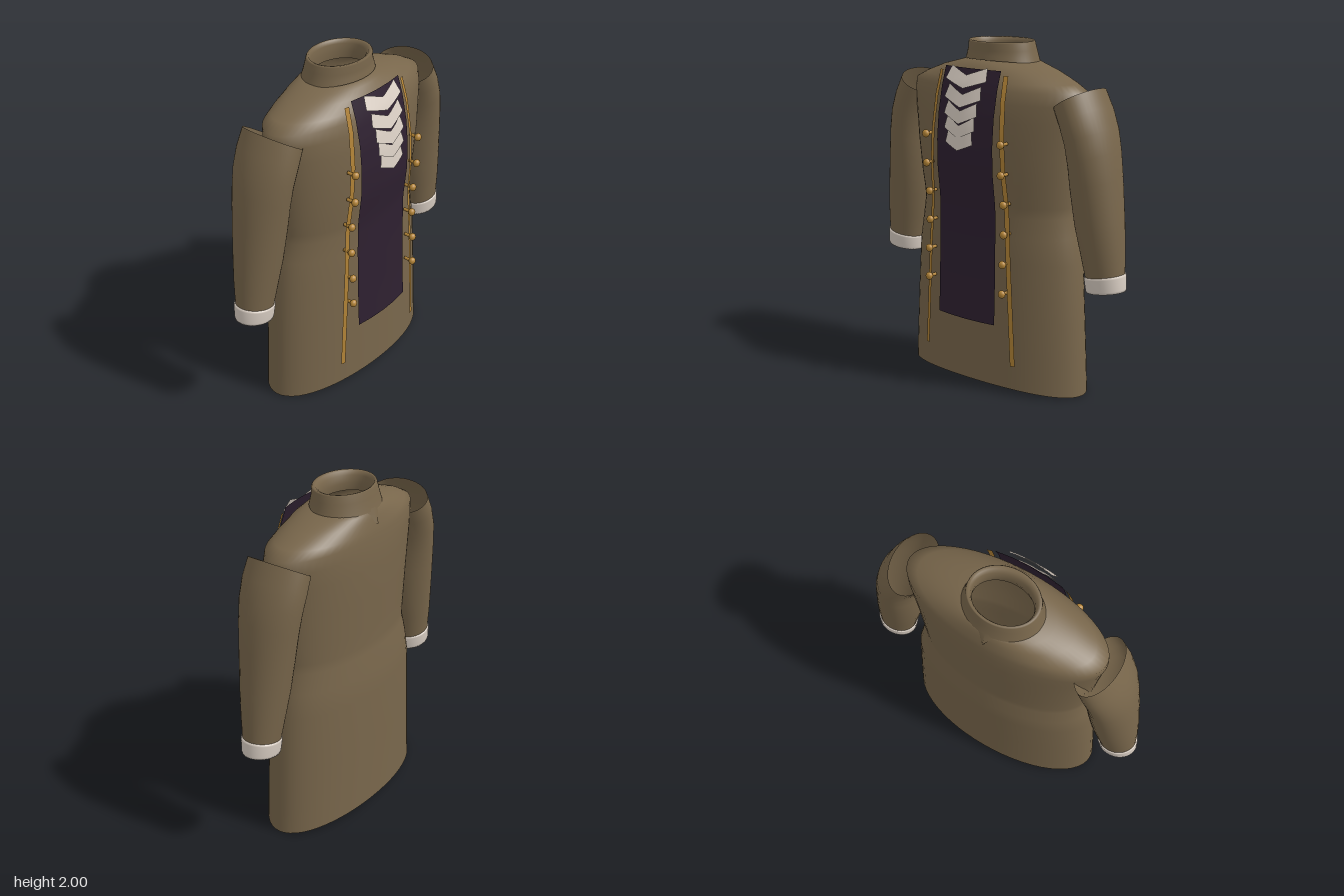
import * as THREE from 'three';

const paint = (name, color) => {
  const m = new THREE.MeshStandardMaterial({ color, side: THREE.DoubleSide });
  m.name = name;
  return m;
};

// Skin over rows of points, listed from bottom to top
function skin(rows, closed) {
  const n = rows[0].length, pos = [], index = [];
  rows.forEach(row => row.forEach(p => pos.push(...p)));
  for (let i = 0; i < rows.length - 1; i++) {
    for (let j = 0; j < (closed ? n : n - 1); j++) {
      const k = (j + 1) % n, a = i * n, b = a + n;
      index.push(a + j, b + j, a + k, a + k, b + j, b + k);
    }
  }
  const g = new THREE.BufferGeometry();
  g.setAttribute('position', new THREE.Float32BufferAttribute(pos, 3));
  g.setIndex(index);
  g.computeVertexNormals();
  return g;
}

const ring = (fn, n = 56) => Array.from({ length: n }, (_, i) => {
  const a = i / n * Math.PI * 2;
  return fn(Math.cos(a), Math.sin(a));
});

// Linear lookup of z along a list of [y, z] with falling y
function along(list, y) {
  for (let i = 1; i < list.length; i++) {
    const [y0, z0] = list[i - 1], [y1, z1] = list[i];
    if (y >= y1 || i === list.length - 1) return THREE.MathUtils.mapLinear(y, y0, y1, z0, z1);
  }
}

export function createModel() {
  const group = new THREE.Group();
  const brown = paint('brownCloth', 0x78664b);
  const plum = paint('plumCloth', 0x2e2030);
  const gold = paint('gold', 0xb38437);
  const cream = paint('creamLinen', 0xd9cec3);
  const add = (name, geometry, material) => {
    const m = new THREE.Mesh(geometry, material);
    m.name = name;
    group.add(m);
    return m;
  };

  // Coat body: y, half width, front z, back z, drop at the sides
  const body = [
    [0.045, 0.625, 0.255, -0.325, 0.042], [0.2, 0.617, 0.252, -0.322, 0.02],
    [0.45, 0.603, 0.247, -0.318, 0], [0.78, 0.582, 0.24, -0.315, 0],
    [0.92, 0.555, 0.236, -0.308, 0], [1.04, 0.532, 0.23, -0.288, 0],
    [1.1, 0.537, 0.232, -0.286, 0], [1.2, 0.55, 0.243, -0.288, 0],
    [1.4, 0.57, 0.255, -0.293, 0], [1.58, 0.59, 0.25, -0.296, 0],
    [1.68, 0.606, 0.238, -0.29, 0], [1.75, 0.606, 0.22, -0.283, 0],
    [1.79, 0.53, 0.2, -0.275, 0], [1.84, 0.4, 0.172, -0.262, 0],
    [1.87, 0.29, 0.142, -0.25, 0], [1.89, 0.22, 0.11, -0.24, 0],
    [1.895, 0.18, 0.07, -0.2, 0],
  ];
  add('coatBody', skin(body.map(([y, w, f, b, drop]) =>
    ring((c, s) => [w * c, y - drop * c * c, (f + b) / 2 + (f - b) / 2 * s])), true), brown);

  // Standing collar with a rolled top and an inner wall
  const collar = [
    [1.88, 0.234, 0.118, -0.25], [1.905, 0.226, 0.113, -0.243], [1.95, 0.215, 0.108, -0.232],
    [1.992, 0.206, 0.11, -0.224], [2.0, 0.2, 0.104, -0.219], [1.996, 0.187, 0.085, -0.208],
    [1.975, 0.177, 0.068, -0.2], [1.93, 0.172, 0.06, -0.196], [1.885, 0.178, 0.068, -0.2],
  ];
  add('collar', skin(collar.map(([y, w, f, b], i) => ring((c, s) =>
    [w * c, y + (i < 2 ? 0.018 * Math.max(s, 0) : 0), (f + b) / 2 + (f - b) / 2 * s])), true), brown);

  // Small pointed fold below the collar at the back
  add('collarFold', skin([
    [[-0.005, 1.81, -0.275], [0, 1.81, -0.282], [0.005, 1.81, -0.275]],
    [[-0.06, 1.895, -0.235], [0, 1.895, -0.25], [0.06, 1.895, -0.235]],
  ]), brown);

  // Sleeves and cuffs: outer x, y, inner x, y, half depth
  const sleeve = [
    [0.882, 0.7, 0.66, 0.67, 0.095], [0.878, 0.78, 0.645, 0.75, 0.105],
    [0.873, 0.9, 0.615, 0.88, 0.122], [0.86, 1.06, 0.582, 1.02, 0.14],
    [0.832, 1.3, 0.557, 1.22, 0.163], [0.808, 1.45, 0.55, 1.34, 0.177],
    [0.778, 1.57, 0.535, 1.46, 0.19], [0.733, 1.68, 0.505, 1.56, 0.197],
    [0.682, 1.782, 0.465, 1.65, 0.192],
  ];
  const cuff = [
    [0.878, 0.685, 0.667, 0.66, 0.089], [0.89, 0.676, 0.655, 0.647, 0.1], [0.892, 0.69, 0.653, 0.66, 0.104],
    [0.887, 0.76, 0.643, 0.722, 0.11], [0.883, 0.772, 0.646, 0.732, 0.109], [0.87, 0.773, 0.66, 0.735, 0.097],
  ];
  const tube = (rows, s) => skin(rows.map(([xo, yo, xi, yi, h]) => ring((c, t) =>
    [s * ((xo + xi) / 2 + (xo - xi) / 2 * c), (yo + yi) / 2 + (yo - yi) / 2 * c, -0.042 + h * t], 40)), true);

  // Gold edging: [y, z] path
  const edgeZ = [[1.835, 0.19], [1.7, 0.226], [1.5, 0.25], [1.3, 0.25], [1.1, 0.23], [0.8, 0.237], [0.185, 0.238]];
  const buttonZ = [0.287, 0.284, 0.262, 0.26, 0.27, 0.274];
  for (const [side, s] of [['left', 1], ['right', -1]]) {
    add(side + 'Sleeve', tube(sleeve, s), brown);
    add(side + 'Cuff', tube(cuff, s), cream);

    const rows = [];
    for (let i = 0; i <= 24; i++) {
      const y = THREE.MathUtils.lerp(0.185, 1.835, i / 24);
      const x = THREE.MathUtils.lerp(0.33, 0.238, i / 24), z = along(edgeZ, y);
      rows.push([[s * x + 0.014, y, z - s * 0.004], [s * x - 0.014, y, z + s * 0.004]]);
    }
    add(side + 'Edging', skin(rows), gold);

    // Row of buttons on short shanks
    buttonZ.forEach((z, i) => {
      const y = 1.47 - i * 0.171;
      const knob = add(side + 'Button', new THREE.SphereGeometry(0.023, 16, 12), gold);
      knob.position.set(s * 0.28, y, z);
      knob.scale.z = 0.85;
      const shank = add(side + 'ButtonShank', new THREE.CylinderGeometry(0.01, 0.01, 0.05, 10), gold);
      shank.rotation.x = Math.PI / 2;
      shank.position.set(s * 0.28, y, z - 0.03);
    });
  }

  // Dark waistcoat panel, gently bowed
  const panelZ = [[1.86, 0.21], [1.75, 0.245], [1.6, 0.275], [1.45, 0.288], [1.3, 0.287],
    [1.1, 0.264], [0.9, 0.265], [0.6, 0.272], [0.41, 0.279]];
  const panel = [];
  for (let i = 0; i <= 28; i++) {
    const t = i / 28, y = THREE.MathUtils.lerp(0.413, 1.86, t);
    const w = THREE.MathUtils.lerp(0.213, 0.205, t);
    panel.push([1, 0.5, 0, -0.5, -1].map(u => [u * w, y, along(panelZ, y) - 0.018 * u * u]));
  }
  add('waistcoatPanel', skin(panel), plum);

  // Five overlapping neck ruffles: half width, outer lower y, centre lower y
  const ruffleZ = [[1.88, 0.232], [1.78, 0.275], [1.65, 0.308], [1.55, 0.323], [1.4, 0.332]];
  const tiers = [[0.15, 1.8, 1.755], [0.134, 1.7, 1.65], [0.122, 1.61, 1.56], [0.112, 1.53, 1.48], [0.1, 1.45, 1.41]];
  tiers.forEach(([w, yo, yc]) => {
    const rows = [0, 0.33, 0.67, 1].map(t => [1, 0.75, 0.5, 0.25, 0, -0.25, -0.5, -0.75, -1].map(u => {
      const y = THREE.MathUtils.lerp(yc, yo, Math.abs(u)) + t * 0.072;
      return [u * w * (1 - 0.13 * t), y, along(ruffleZ, y) - 0.012 * u * u - 0.006 * t];
    }));
    add('neckRuffle', skin(rows), cream);
  });

  return group;
}
